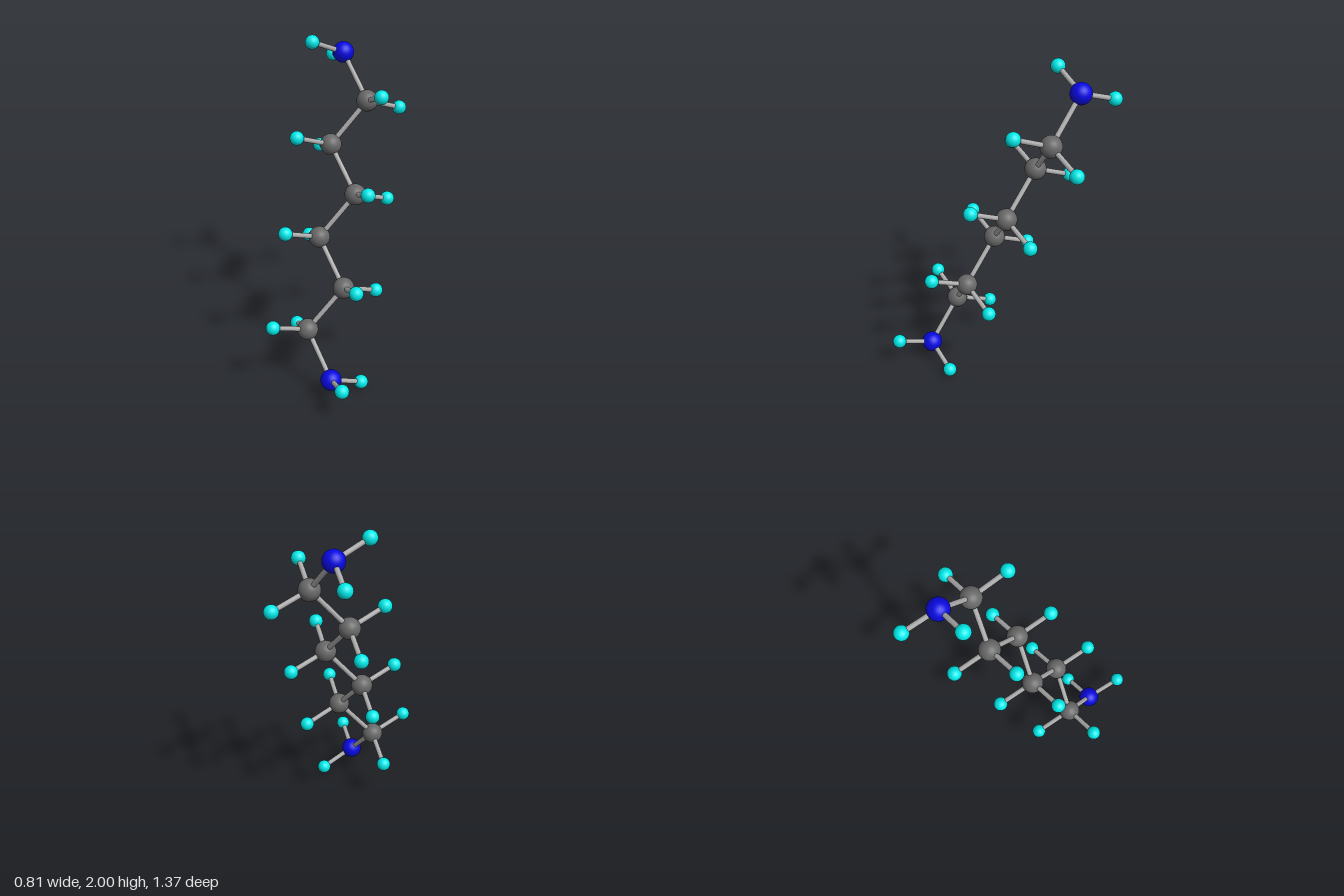
import * as THREE from 'three';

const V = (x, y, z) => new THREE.Vector3(x, y, z);
const BOND_RADIUS = 0.015;

// Atom kinds: radius and colour
const KINDS = {
  nitrogen: { radius: 0.063, color: 0x0808e0 },
  carbon: { radius: 0.064, color: 0x686868 },
  hydrogen: { radius: 0.042, color: 0x00e8e8 },
};

// Upper half of the chain, each atom with its two hydrogens
const HALF = [
  { kind: 'nitrogen', at: V(0.026, 1.87, -0.438), hydrogens: [V(-0.153, 1.958, -0.331), V(-0.043, 1.8, -0.642)] },
  { kind: 'carbon', at: V(0.17, 1.628, -0.265), hydrogens: [V(0.365, 1.547, -0.383), V(0.249, 1.721, -0.051)] },
  { kind: 'carbon', at: V(-0.043, 1.373, -0.207), hydrogens: [V(-0.236, 1.457, -0.085), V(-0.118, 1.285, -0.419)] },
  { kind: 'carbon', at: V(0.106, 1.128, -0.028), hydrogens: [V(0.298, 1.049, -0.149), V(0.179, 1.219, 0.181)] },
];

// Point reflection through the middle of the molecule
const invert = (p) => V(-p.x, 2 - p.y, -p.z);

export function createModel() {
  const model = new THREE.Group();
  model.name = 'moleculeModel';

  const bondMaterial = new THREE.MeshStandardMaterial({ color: 0xaaaaaa });
  const bondGeometry = new THREE.CylinderGeometry(BOND_RADIUS, BOND_RADIUS, 1, 20, 1, true);
  const atoms = {};
  for (const [kind, { radius, color }] of Object.entries(KINDS)) {
    atoms[kind] = {
      geometry: new THREE.SphereGeometry(radius, 32, 20),
      material: new THREE.MeshStandardMaterial({ color }),
    };
  }

  const addAtom = (parent, kind, at) => {
    const mesh = new THREE.Mesh(atoms[kind].geometry, atoms[kind].material);
    mesh.name = kind + 'Atom';
    mesh.position.copy(at);
    parent.add(mesh);
  };

  // Rod between two atom centres
  const addBond = (parent, a, b, name) => {
    const dir = b.clone().sub(a);
    const mesh = new THREE.Mesh(bondGeometry, bondMaterial);
    mesh.name = name;
    mesh.scale.y = dir.length();
    mesh.quaternion.setFromUnitVectors(V(0, 1, 0), dir.normalize());
    mesh.position.copy(a).lerp(b, 0.5);
    parent.add(mesh);
  };

  // Whole chain from top to bottom
  const lower = HALF.map(({ kind, at, hydrogens }) => ({
    kind, at: invert(at), hydrogens: hydrogens.map(invert),
  })).reverse();
  const chain = [...HALF, ...lower];

  chain.forEach(({ kind, at, hydrogens }, i) => {
    const unit = new THREE.Group();
    unit.name = kind + 'Unit';
    addAtom(unit, kind, at);
    for (const h of hydrogens) {
      addAtom(unit, 'hydrogen', h);
      addBond(unit, at, h, 'hydrogenBond');
    }
    if (i > 0) addBond(unit, chain[i - 1].at, at, 'chainBond');
    model.add(unit);
  });

  return model;
}
